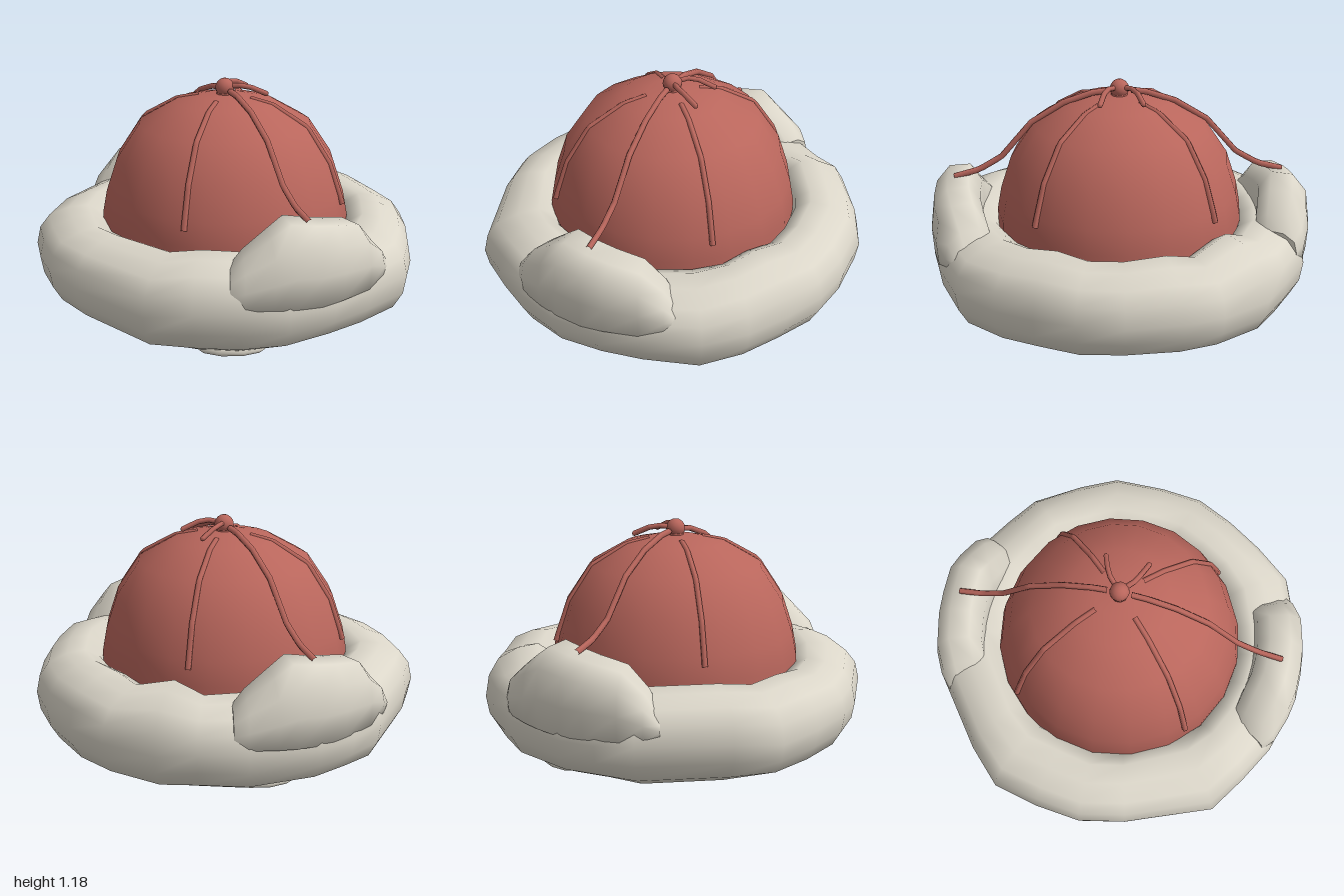
import * as THREE from 'three';

const CX = -0.01; // crown axis sits slightly off centre

// Skin a list of closed cross-sections; sections run by rising angle, points from the outer side upward
function loft(sections, closed) {
  const n = sections.length, m = sections[0].length, index = [];
  for (let i = 0; i < (closed ? n : n - 1); i++) {
    for (let j = 0; j < m; j++) {
      const a = i * m + j, b = i * m + (j + 1) % m;
      const c = ((i + 1) % n) * m + j, d = ((i + 1) % n) * m + (j + 1) % m;
      index.push(a, b, c, b, d, c);
    }
  }
  const g = new THREE.BufferGeometry();
  g.setAttribute('position', new THREE.Float32BufferAttribute(sections.flat(2), 3));
  g.setIndex(index);
  g.computeVertexNormals();
  return g;
}

// Angular cord through [x, y, z] points
function cord(points, radius) {
  const curve = new THREE.CatmullRomCurve3(points.map(p => new THREE.Vector3(...p)), false, 'catmullrom', 0);
  return new THREE.TubeGeometry(curve, 24, radius, 6);
}

// Fur roll: outer outline [x, z, top, bottom] around the brim
function brimGeometry() {
  const outline = [
    [0.99, 0.04, 0.50, 0.05], [0.96, 0.27, 0.50, 0.04], [0.86, 0.47, 0.52, 0.04], [0.74, 0.66, 0.50, 0.03],
    [0.58, 0.85, 0.49, 0.03], [0.30, 0.95, 0.47, 0.04], [0.08, 0.99, 0.46, 0.05], [-0.17, 0.99, 0.47, 0.03],
    [-0.40, 0.92, 0.50, 0.02], [-0.59, 0.81, 0.51, 0.03], [-0.78, 0.68, 0.48, 0.04], [-0.95, 0.24, 0.49, 0.06],
    [-1.0, 0, 0.48, 0.06], [-0.97, -0.24, 0.49, 0.05], [-0.91, -0.48, 0.48, 0.05], [-0.74, -0.65, 0.50, 0.04],
    [-0.37, -0.93, 0.49, 0.03], [-0.18, -0.98, 0.47, 0.05], [0.02, -1.0, 0.46, 0.04], [0.37, -0.93, 0.49, 0.03],
    [0.58, -0.80, 0.48, 0.04], [0.74, -0.68, 0.54, 0.03], [0.90, -0.44, 0.48, 0.04], [0.98, -0.24, 0.52, 0.05],
  ];
  const profile = [[1, 0], [0.95, 0.42], [0.82, 0.74], [0.56, 0.94], [0.3, 1], [0.1, 0.8], [0, 0.3],
    [0, -0.3], [0.06, -0.78], [0.28, -1], [0.56, -0.97], [0.84, -0.74], [0.96, -0.4]];
  return loft(outline.map(([x, z, top, bottom], i) => {
    const R = Math.hypot(x, z), inner = 0.615 + 0.012 * Math.sin(i * 2.3), y0 = 0.275 + 0.012 * Math.sin(i * 1.7);
    return profile.map(([t, h]) => {
      const r = (inner + (R - inner) * t) / R;
      return [x * r, y0 + h * (h > 0 ? top - y0 : y0 - bottom), z * r];
    });
  }), true);
}

// Turned-up fur flap: stations [degrees, inner, outer, bottom, top]
function flapGeometry() {
  const profile = [[0.62, 0], [0.97, 0.03], [1, 0.4], [0.93, 0.75], [0.66, 0.97], [0.25, 1], [0.03, 0.78], [0, 0.35], [0.1, 0]];
  const stations = [
    [61.5, 0.77, 0.97, 0.32, 0.40], [66, 0.735, 0.99, 0.30, 0.51], [73, 0.735, 1.0, 0.29, 0.62],
    [83, 0.73, 1.0, 0.28, 0.65], [90, 0.73, 1.0, 0.27, 0.67], [98, 0.73, 1.005, 0.28, 0.695],
    [104, 0.725, 1.005, 0.29, 0.63], [112, 0.735, 1.0, 0.30, 0.54], [116, 0.76, 0.975, 0.30, 0.47],
  ];
  const rings = stations.map(([deg, r0, r1, y0, y1]) => {
    const a = THREE.MathUtils.degToRad(deg);
    return profile.map(([t, h]) => {
      const r = r0 + (r1 - r0) * t;
      return [r * Math.cos(a), y0 + (y1 - y0) * h, r * Math.sin(a)];
    });
  });
  // Doubled end rings and a centre point make crisp closed ends
  const centre = ring => ring.map(() => [0, 1, 2].map(k => ring.reduce((s, p) => s + p[k], 0) / ring.length));
  const first = rings[0], last = rings[rings.length - 1];
  return loft([centre(first), first, ...rings, last, centre(last)], false);
}

export function createModel() {
  const red = new THREE.MeshStandardMaterial({ color: 0xb9665c });
  red.name = 'dull red cloth';
  const fur = new THREE.MeshStandardMaterial({ color: 0xdbd6c9 });
  fur.name = 'cream fur';

  const model = new THREE.Group();
  model.name = 'furHat';
  const add = (name, geometry, material, x = 0, y = 0, z = 0) => {
    const mesh = new THREE.Mesh(geometry, material);
    mesh.name = name;
    mesh.position.set(x, y, z);
    model.add(mesh);
    return mesh;
  };

  // Crown and its flat underside
  const dome = [[0.645, 0.07], [0.65, 0.3], [0.65, 0.48], [0.627, 0.6], [0.57, 0.77], [0.45, 0.95], [0.26, 1.06], [0.12, 1.09], [0, 1.1]];
  add('crown', new THREE.LatheGeometry(dome.map(p => new THREE.Vector2(...p)), 20), red, CX);
  add('crownBase', new THREE.CircleGeometry(0.645, 20).rotateX(Math.PI / 2), red, CX, 0.07);

  // Four diagonal seams
  const seam = [[0.14, 1.08], [0.26, 1.055], [0.445, 0.95], [0.565, 0.77], [0.625, 0.6], [0.638, 0.56]];
  for (let i = 0; i < 4; i++) {
    const a = Math.PI / 4 + i * Math.PI / 2;
    add('seam', cord(seam.map(([r, y]) => [r * Math.cos(a), y, r * Math.sin(a)]), 0.015), red, CX);
  }

  // Front and back ties holding up the flaps
  const tie = [[0.06, 1.12], [0.14, 1.11], [0.29, 1.06], [0.46, 0.955], [0.62, 0.77], [0.74, 0.70], [0.87, 0.665]];
  for (const s of [1, -1]) {
    add(s > 0 ? 'frontTie' : 'backTie', cord(tie.map(([z, y]) => [0, y, s * z]), 0.016), red, CX);
  }

  // Top button, its stem and two loose string ends
  add('buttonStem', new THREE.CylinderGeometry(0.04, 0.045, 0.06, 10), red, CX, 1.105);
  add('button', new THREE.SphereGeometry(0.05, 12, 8), red, CX, 1.13);
  for (const s of [1, -1]) {
    const end = [[0, 1.135, 0], [0.06, 1.145, s * 0.06], [0.11, 1.135, s * 0.085], [0.185, 1.1, s * 0.11]];
    add('stringEnd', cord(end, 0.014), red, CX);
    add('stringEndCap', new THREE.SphereGeometry(0.014, 6, 4), red, CX + 0.185, 1.1, s * 0.11);
  }

  // Fur brim, flaps and the loose tufts under them
  add('furBrim', brimGeometry(), fur);
  const flap = flapGeometry();
  const tuft = new THREE.SphereGeometry(1, 10, 6).scale(0.19, 0.04, 0.11).rotateY(-0.45);
  add('frontFlap', flap, fur);
  add('backFlap', flap, fur).rotation.y = Math.PI;
  add('frontTuft', tuft, fur, -0.33, 0.04, 0.7);
  add('backTuft', tuft, fur, 0.2, 0.055, -0.72);
  return model;
}
